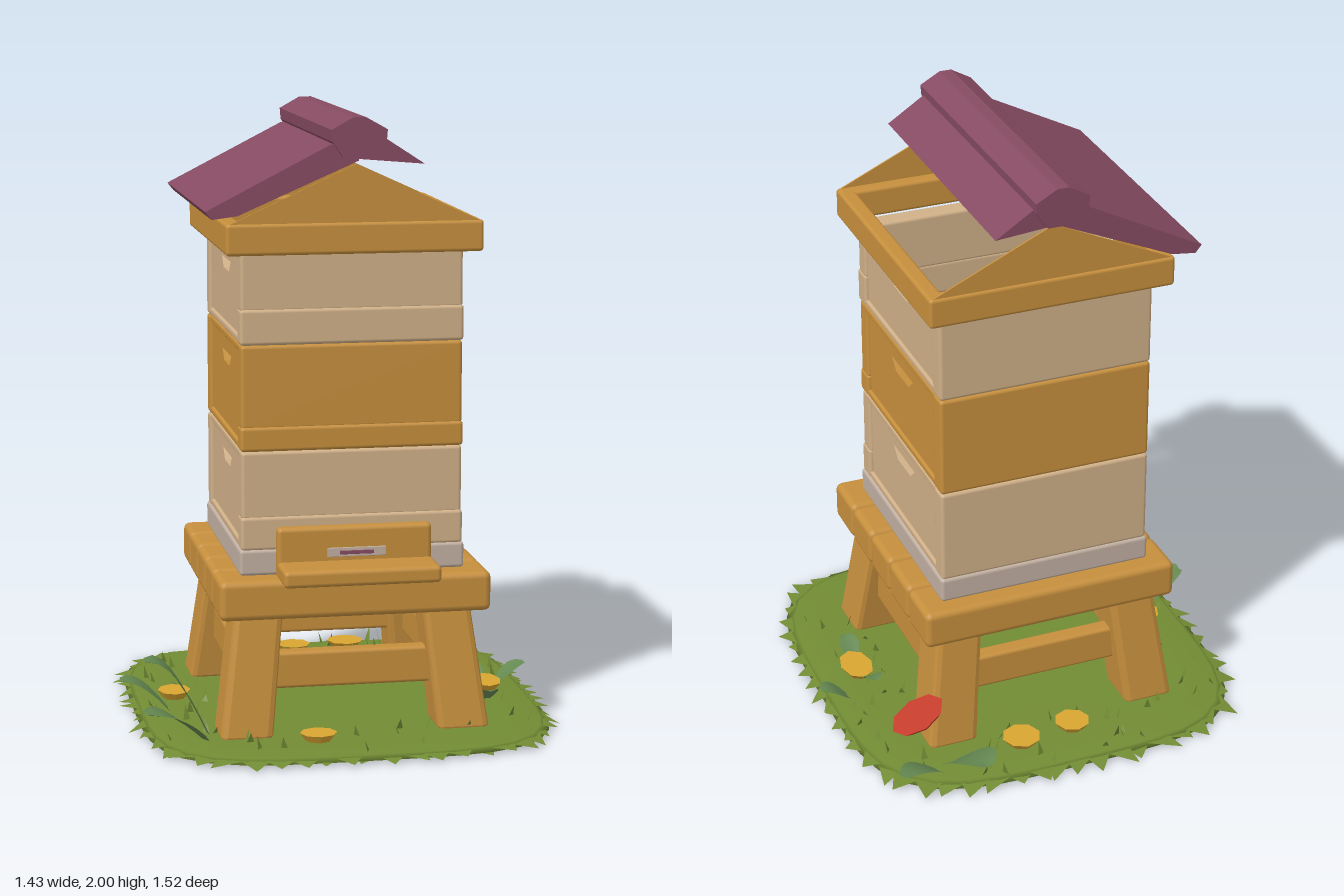
import * as THREE from 'three';
import { RoundedBoxGeometry } from 'three/addons/geometries/RoundedBoxGeometry.js';

const mat = (name, color, extra = {}) => {
  const m = new THREE.MeshStandardMaterial({ color, ...extra });
  m.name = name;
  return m;
};

export function createModel() {
  const two = { side: THREE.DoubleSide };
  const wood = mat('honey wood', 0xc68f3d, two);
  const cream = mat('cream paint', 0xd0b088, two);
  const pale = mat('pale board', 0xc2b0a2);
  const purple = mat('plum roof', 0x864b62, two);
  const grass = mat('grass green', 0x728c34, two);
  const leafGreen = mat('leaf green', 0x668a52, two);
  const yellow = mat('yellow petals', 0xdaa632, two);
  const red = mat('red petals', 0xc43c2c, two);

  const model = new THREE.Group();
  model.name = 'beehive';
  let seed = 7;
  const rnd = () => (seed = (seed * 16807) % 2147483647) / 2147483647;

  const group = (name) => {
    const g = new THREE.Group();
    g.name = name;
    model.add(g);
    return g;
  };
  const add = (parent, name, geo, m) => {
    const mesh = new THREE.Mesh(geo, m);
    mesh.name = name;
    parent.add(mesh);
    return mesh;
  };
  // Rounded block given by its limits on each axis
  const block = (parent, name, [x0, x1], [y0, y1], [z0, z1], m, r = 0.012) => {
    const geo = new RoundedBoxGeometry(x1 - x0, y1 - y0, z1 - z0, 2, r);
    geo.translate((x0 + x1) / 2, (y0 + y1) / 2, (z0 + z1) / 2);
    return add(parent, name, geo, m);
  };
  // Four-sided open frame
  const ring = (name, w, d, y0, y1, t, m) => {
    const g = group(name);
    for (const s of [-1, 1]) {
      block(g, 'frontBackRail', [-w, w], [y0, y1], s > 0 ? [d - t, d] : [-d, t - d], m);
      block(g, 'sideRail', s > 0 ? [w - t, w] : [-w, t - w], [y0, y1], [-d + t / 2, d - t / 2], m);
    }
    return g;
  };
  // Outline in x, y drawn out along z
  const prism = (parent, name, pts, z0, z1, m) => {
    const shape = new THREE.Shape(pts.map((p) => new THREE.Vector2(...p)));
    const geo = new THREE.ExtrudeGeometry(shape, { depth: z1 - z0, bevelEnabled: false });
    geo.translate(0, 0, z0);
    return add(parent, name, geo, m);
  };

  // Stool: slatted top, splayed legs, cross bars
  const stool = group('stool');
  for (let i = 0; i < 5; i++) {
    const z = -0.45 + i * 0.183;
    block(stool, 'slat', [-0.44, 0.44], [0.41, 0.54], [z, z + 0.183], wood, 0.022);
  }
  for (const sx of [-1, 1]) for (const sz of [-1, 1]) {
    const geo = new RoundedBoxGeometry(0.165, 0.42, 0.175, 1, 0.02);
    const p = geo.attributes.position;
    for (let i = 0; i < p.count; i++) {
      const k = 0.5 - p.getY(i) / 0.42;
      p.setX(i, p.getX(i) * (0.95 + 0.08 * k) + sx * (0.305 + 0.05 * k));
      p.setZ(i, p.getZ(i) + sz * (0.318 + 0.06 * k));
    }
    geo.translate(0, 0.22, 0);
    geo.computeVertexNormals();
    add(stool, 'leg', geo, wood);
  }
  for (const s of [-1, 1]) {
    block(stool, 'crossBar', [-0.32, 0.32], [0.16, 0.28], [s * 0.345 - 0.03, s * 0.345 + 0.03], wood);
    block(stool, 'sideBar', [s * 0.33 - 0.03, s * 0.33 + 0.03], [0.16, 0.28], [-0.32, 0.32], wood);
  }

  // Bottom tray and landing board with entrance
  ring('baseTray', 0.365, 0.39, 0.54, 0.625, 0.045, pale);
  const landing = group('landingBoard');
  block(landing, 'shelf', [-0.25, 0.255], [0.535, 0.59], [0.38, 0.565], wood, 0.015);
  block(landing, 'upright', [-0.25, 0.25], [0.54, 0.7], [0.385, 0.43], wood, 0.015);
  block(landing, 'entrance', [-0.09, 0.1], [0.602, 0.632], [0.428, 0.434], pale, 0.002);
  block(landing, 'entranceSlot', [-0.05, 0.06], [0.61, 0.622], [0.433, 0.437], purple, 0.001);

  // Stacked hive boxes with recessed side panels and hand holds
  const hiveBox = (name, y0, y1, seam, m) => {
    const g = group(name);
    block(g, 'frontUpperPlank', [-0.357, 0.357], [seam, y1], [0.315, 0.381], m);
    block(g, 'frontLowerPlank', [-0.36, 0.36], [y0, seam + 0.01], [0.315, 0.387], m);
    block(g, 'back', [-0.36, 0.36], [y0, y1], [-0.385, -0.315], m);
    const cy = y0 + (y1 - y0) * 0.7;
    for (const s of [-1, 1]) {
      const shape = new THREE.Shape([[-0.33, y0 + 0.005], [0.33, y0 + 0.005], [0.33, y1 - 0.005], [-0.33, y1 - 0.005]]
        .map((p) => new THREE.Vector2(...p)));
      shape.holes.push(new THREE.Path([[-0.1, cy + 0.025], [0.1, cy + 0.025], [0.06, cy - 0.012], [-0.06, cy - 0.012]]
        .map((p) => new THREE.Vector2(...p))));
      const geo = new THREE.ExtrudeGeometry(shape, { depth: 0.027, bevelEnabled: false });
      geo.translate(0, 0, 0.32);
      geo.rotateY(s * Math.PI / 2);
      add(g, 'sidePanel', geo, m);
      block(g, 'handHold', [s * 0.31 - 0.012, s * 0.31 + 0.012], [cy - 0.04, cy + 0.04], [-0.115, 0.115], m, 0.005);
      for (const y of [y0, y1 - 0.025])
        block(g, 'sideEdge', s > 0 ? [0.32, 0.357] : [-0.357, -0.32], [y, y + 0.025], [-0.34, 0.34], m, 0.008);
    }
  };
  hiveBox('lowerBox', 0.62, 0.94, 0.72, cream);
  hiveBox('middleBox', 0.94, 1.28, 1.01, wood);
  hiveBox('upperBox', 1.28, 1.575, 1.385, cream);

  // Roof: open frame, thin gables, one long and one broken panel, ridge
  ring('roofFrame', 0.41, 0.44, 1.57, 1.67, 0.055, wood);
  const roof = group('roof');
  for (const z of [-0.43, 0.43])
    prism(roof, 'gable', [[-0.405, 1.665], [0.405, 1.665], [0, 1.85]], z - 0.003, z + 0.003, wood);
  prism(roof, 'longPanel', [[-0.48, 1.715], [-0.46, 1.69], [-0.38, 1.7], [0.0, 1.865], [0, 1.93], [-0.09, 1.915]], -0.475, 0.48, purple);
  prism(roof, 'brokenPanel', [[0, 1.87], [0.21, 1.852], [0.09, 1.93], [0, 1.97]], -0.475, 0.475, purple);
  prism(roof, 'ridge', [[-0.05, 1.875], [0.05, 1.875], [0.085, 1.925], [0.088, 1.962], [0.02, 2], [-0.02, 2], [-0.088, 1.962], [-0.085, 1.925]], -0.5, 0.495, purple);

  // Grass mat: rounded square, slightly domed, with a ragged fringe
  const lawn = group('lawn');
  const edge = (a, k = 1) => {
    const c = Math.cos(a), s = Math.sin(a);
    const r = k * Math.pow(Math.pow(Math.abs(c) / 0.67, 4) + Math.pow(Math.abs(s) / 0.71, 4), -0.25);
    return [c * r, s * r];
  };
  const loop = (k, y) => Array.from({ length: 48 }, (_, i) => {
    const [x, z] = edge((i / 48) * Math.PI * 2, k);
    return [x, y, z];
  });
  const rows = [loop(0.01, 0.025), loop(0.8, 0.025), loop(0.96, 0.022), loop(1, 0.01), loop(0.95, 0.004), loop(0.01, 0.004)];
  const index = [];
  for (let j = 0; j < rows.length - 1; j++) for (let i = 0; i < 48; i++) {
    const a = j * 48 + i, b = j * 48 + (i + 1) % 48;
    index.push(a, b, a + 48, b, b + 48, a + 48);
  }
  const triangles = (verts, idx) => {
    const geo = new THREE.BufferGeometry();
    geo.setAttribute('position', new THREE.Float32BufferAttribute(verts, 3));
    if (idx) geo.setIndex(idx);
    geo.computeVertexNormals();
    return geo;
  };
  // Index order reversed so the top faces up
  for (let i = 0; i < index.length; i += 3) [index[i + 1], index[i + 2]] = [index[i + 2], index[i + 1]];
  add(lawn, 'mat', triangles(rows.flat(2), index), grass);
  const fringe = [], tufts = [];
  for (let i = 0; i < 64; i++) {
    const a = (i / 64) * Math.PI * 2, w = 0.06;
    const [x0, z0] = edge(a - w, 0.97), [x1, z1] = edge(a + w, 0.97);
    const [xt, zt] = edge(a + (rnd() - 0.5) * 0.12, 1.01 + rnd() * 0.06);
    fringe.push(x0, 0.018, z0, xt, rnd() * 0.012, zt, x1, 0.018, z1);
  }
  add(lawn, 'fringe', triangles(fringe), grass);
  for (let i = 0; i < 90; i++) {
    const [x, z] = edge(rnd() * Math.PI * 2, 0.6 + rnd() * 0.36);
    const a = rnd() * 6.28, c = Math.cos(a) * 0.013, s = Math.sin(a) * 0.013;
    tufts.push(x - c, 0.02, z - s, x + c, 0.02, z + s, x + s, 0.045 + rnd() * 0.03, z - c);
  }
  add(lawn, 'tufts', triangles(tufts), grass);

  // Arching leaves: base x, z, heading, length, width, height
  const leaves = group('leaves');
  const leaf = (x, z, angle, len, width, h) => {
    const geo = new THREE.PlaneGeometry(1, 1, 4, 6);
    const p = geo.attributes.position;
    for (let i = 0; i < p.count; i++) {
      const t = p.getY(i) + 0.5, u = p.getX(i);
      const w = width * (0.12 + 0.88 * Math.pow(Math.sin(Math.PI * Math.min(1, 0.08 + t * 0.88)), 0.7));
      p.setXYZ(i, t * len, 0.02 + h * Math.sin(t * 1.7) + 0.1 * width * Math.abs(u), u * w);
    }
    geo.rotateY(-angle);
    geo.translate(x, 0, z);
    geo.computeVertexNormals();
    add(leaves, 'leaf', geo, leafGreen);
  };
  const list = [
    [-0.47, 0.36, 3.1, 0.2, 0.16, 0.25], [-0.49, 0.43, 2.8, 0.2, 0.18, 0.11], [-0.56, 0.08, 3.1, 0.16, 0.14, 0.11],
    [0.4, -0.55, -1.8, 0.22, 0.16, 0.12], [0.45, -0.58, -0.6, 0.2, 0.1, 0.1], [0.59, -0.07, -0.1, 0.1, 0.09, 0.06],
    [0.5, 0.01, -1.57, 0.12, 0.07, 0.07], [0.5, 0.14, 1.57, 0.08, 0.07, 0.05],
  ];
  list.forEach((l) => leaf(...l));

  // Flat flowers in the grass and one tilted red bloom
  const flowers = group('flowers');
  const flower = (name, x, y, z, rx, rz, m, tilt = 0) => {
    const f = add(flowers, name, new THREE.CylinderGeometry(1, 0.7, 0.025, 8).toNonIndexed(), m);
    f.geometry.computeVertexNormals();
    f.scale.set(rx, 1, rz);
    f.rotation.z = tilt;
    f.position.set(x, y, z);
  };
  for (const [x, z, rx, rz] of [[-0.53, -0.02, 0.055, 0.065], [0.52, 0.045, 0.055, 0.085], [-0.04, -0.53, 0.06, 0.06],
    [0.15, -0.55, 0.065, 0.065], [-0.14, 0.55, 0.06, 0.055]]) flower('yellowFlower', x, 0.05, z, rx, rz, yellow);
  flower('redFlower', 0.51, 0.235, -0.555, 0.095, 0.08, red, -0.45);
  return model;
}
